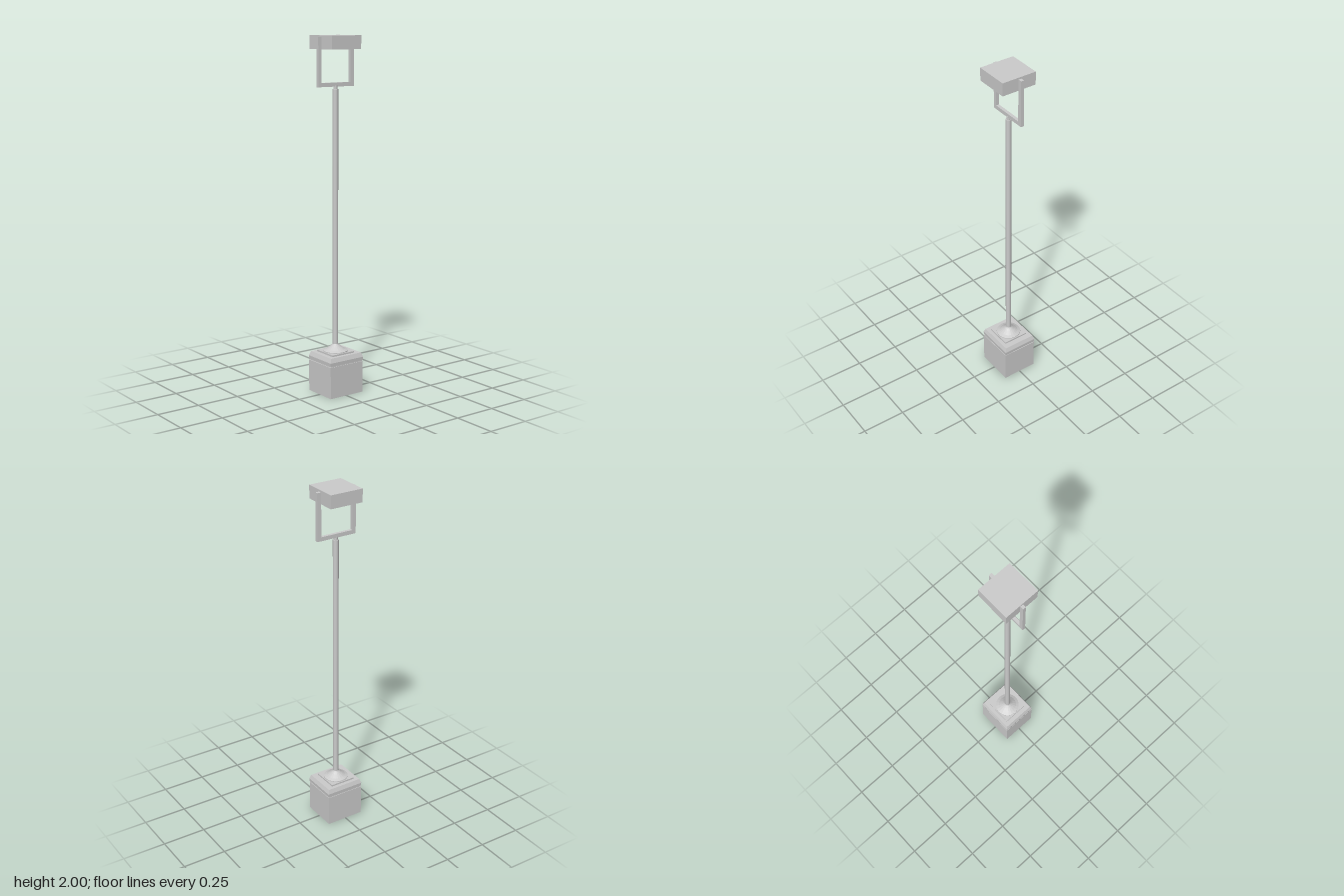
import * as THREE from 'three';

const smooth = new THREE.MeshStandardMaterial({ color: 0xcccccc });
const flat = new THREE.MeshStandardMaterial({ color: 0xcccccc, flatShading: true });

export function createModel() {
  const model = new THREE.Group();

  function add(parent, name, geometry, material, x, y, z) {
    const mesh = new THREE.Mesh(geometry, material);
    mesh.name = name;
    mesh.position.set(x, y, z);
    parent.add(mesh);
  }

  // Box given by its lower and upper limits
  function box(parent, name, [x0, x1], [y0, y1], [z0, z1]) {
    add(parent, name, new THREE.BoxGeometry(x1 - x0, y1 - y0, z1 - z0), flat,
      (x0 + x1) / 2, (y0 + y1) / 2, (z0 + z1) / 2);
  }

  // Four-sided tapered slab; bottom and top are scale factors of width and depth
  function slab(parent, name, width, depth, y0, y1, bottom, top, z) {
    const geometry = new THREE.CylinderGeometry(top * Math.SQRT1_2, bottom * Math.SQRT1_2, y1 - y0, 4);
    geometry.rotateY(Math.PI / 4);
    geometry.scale(width, 1, depth);
    add(parent, name, geometry, flat, 0, (y0 + y1) / 2, z);
  }

  // Square pedestal with a chamfered cap and a stepped plate
  const base = new THREE.Group();
  base.name = 'base';
  model.add(base);
  box(base, 'pedestal', [-0.103, 0.103], [0, 0.18], [-0.115, 0.109]);
  slab(base, 'capGroove', 0.2, 0.216, 0.18, 0.187, 1, 1, -0.004);
  slab(base, 'capRim', 0.208, 0.228, 0.187, 0.205, 0.99, 1, -0.004);
  slab(base, 'capChamfer', 0.208, 0.228, 0.205, 0.23, 1, 0.92, -0.004);
  slab(base, 'stepPlate', 0.15, 0.15, 0.23, 0.239, 1, 1, 0);

  // Flared foot of the pole
  const foot = [[0.07, 0.239], [0.07, 0.243], [0.053, 0.25], [0.032, 0.264], [0.02, 0.274], [0.016, 0.28]];
  add(model, 'poleFoot', new THREE.LatheGeometry(foot.map(([r, y]) => new THREE.Vector2(r, y)), 20), flat, 0, 0, 0);

  // Pole and its narrow neck
  add(model, 'pole', new THREE.CylinderGeometry(0.016, 0.016, 1.44, 12), smooth, 0, 0.99, 0);
  add(model, 'neck', new THREE.CylinderGeometry(0.011, 0.011, 0.03, 12), smooth, 0, 1.715, 0);

  // U-shaped bracket holding the lamp between its arms
  const bracket = new THREE.Group();
  bracket.name = 'bracket';
  model.add(bracket);
  const thick = [-0.01, 0.008];
  box(bracket, 'bracketBar', thick, [1.724, 1.746], [-0.12, 0.12]);
  box(bracket, 'frontArm', thick, [1.746, 1.99], [0.099, 0.12]);
  box(bracket, 'backArm', thick, [1.746, 1.99], [-0.12, -0.096]);

  // Lamp block
  box(model, 'lamp', [-0.1, 0.104], [1.926, 2], [-0.096, 0.1]);

  return model;
}
